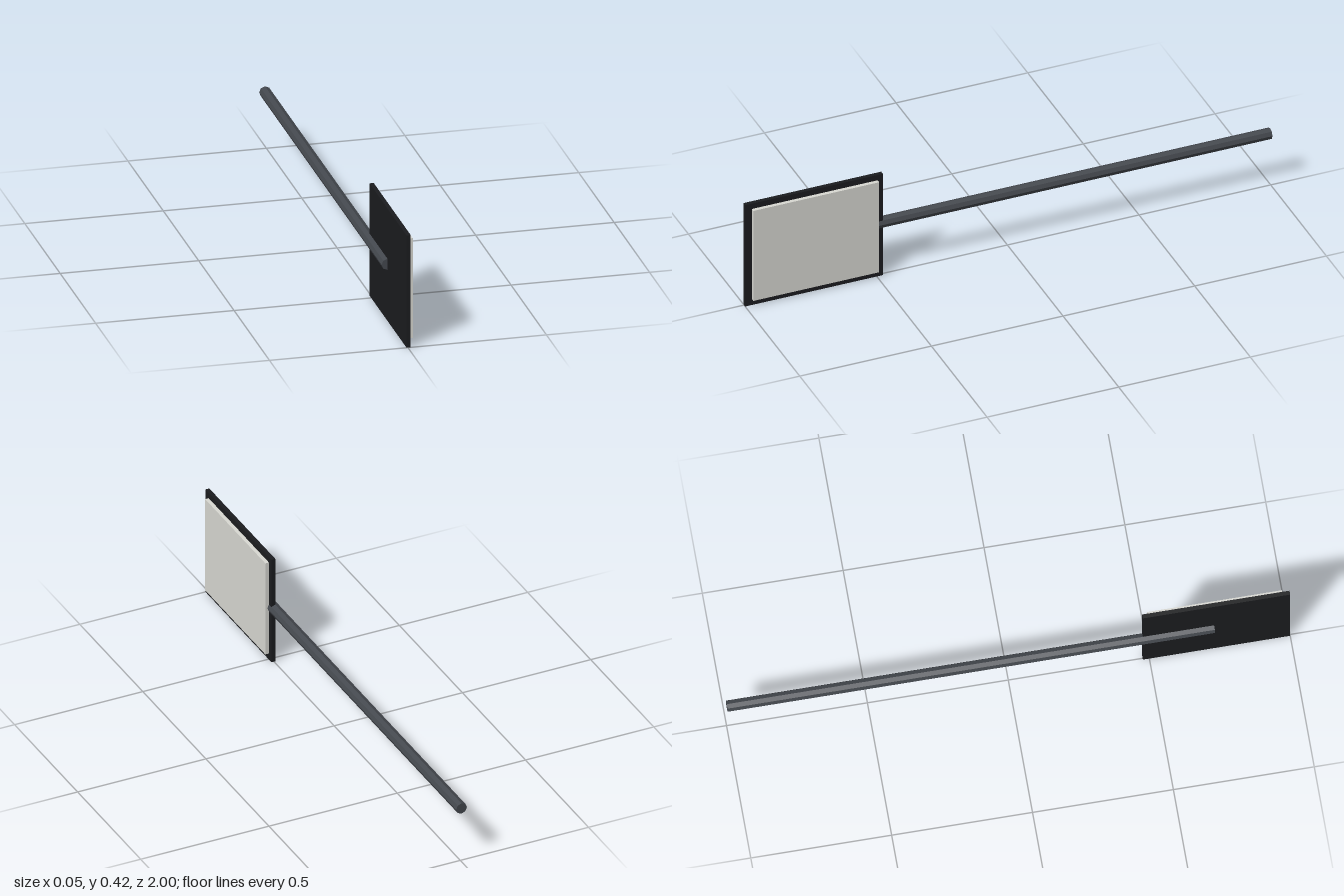
import * as THREE from 'three';

export function createModel() {
  const model = new THREE.Group();

  const add = (name, geometry, color, x, y, z) => {
    const material = new THREE.MeshStandardMaterial({ color, flatShading: true });
    const mesh = new THREE.Mesh(geometry, material);
    mesh.name = name;
    mesh.position.set(x, y, z);
    model.add(mesh);
    return mesh;
  };

  // Thin dark backing board, standing on its edge
  add('backingBoard', new THREE.BoxGeometry(0.015, 0.421, 0.523), 0x1b1c1f, 0.0025, 0.2105, 0.7385);

  // Pale panel on the left face, leaving a dark border
  add('facePanel', new THREE.BoxGeometry(0.014, 0.374, 0.478), 0xd8d8d2, 0.017, 0.212, 0.736);

  // Eight-sided handle running along z, sunk into the board
  const handle = add('handle', new THREE.CylinderGeometry(0.021, 0.021, 1.73, 8), 0x44484e, -0.005, 0.212, -0.135);
  handle.rotation.x = Math.PI / 2;

  return model;
}
